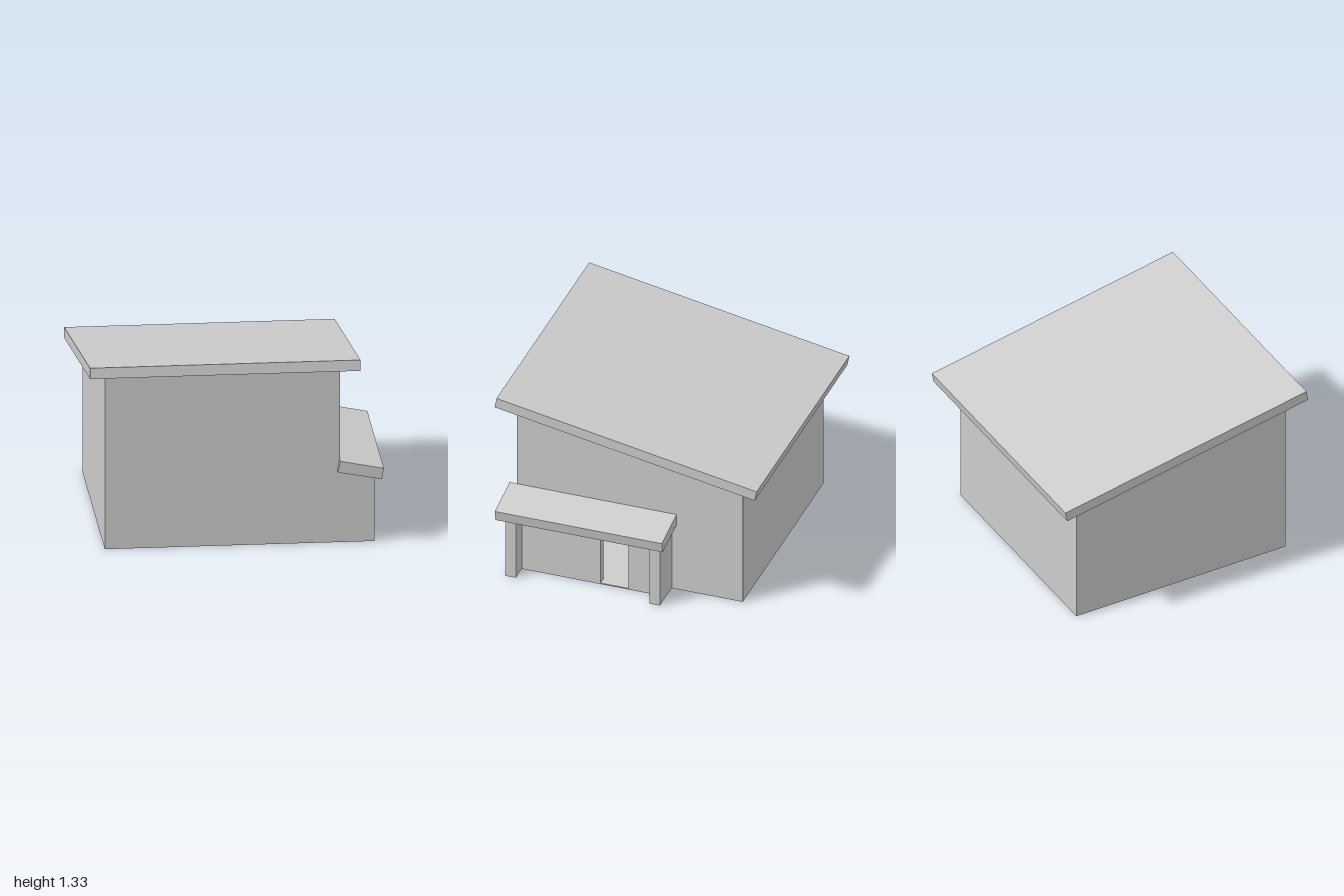
import * as THREE from 'three';

const material = new THREE.MeshStandardMaterial({ color: 0xcccccc, flatShading: true });

export function createModel() {
  const house = new THREE.Group();
  house.name = 'house';

  const add = (name, geometry) => {
    const mesh = new THREE.Mesh(geometry, material);
    mesh.name = name;
    house.add(mesh);
  };
  const extrude = (points, depth) => new THREE.ExtrudeGeometry(
    new THREE.Shape(points.map(([a, b]) => new THREE.Vector2(a, b))),
    { depth, bevelEnabled: false });

  // Outline in x/y, swept from z0 to z1
  const alongZ = (name, points, z0, z1) =>
    add(name, extrude(points, z1 - z0).translate(0, 0, z0));
  // Outline in z/y, swept from x0 to x1
  const alongX = (name, points, x0, x1) =>
    add(name, extrude(points, x1 - x0).rotateY(-Math.PI / 2).translate(x1, 0, 0));
  const box = (name, x0, x1, y0, y1, z0, z1) =>
    add(name, new THREE.BoxGeometry(x1 - x0, y1 - y0, z1 - z0)
      .translate((x0 + x1) / 2, (y0 + y1) / 2, (z0 + z1) / 2));

  const t = 0.075;                         // wall thickness
  const left = -0.89, right = 0.705;       // main room
  const back = -0.79, front = 0.83;
  const porchEnd = 0.94, porchBack = -0.28, porchInner = -0.205;
  const eave = (z) => 1.235 + (z - front) * 0.184;

  // Front wall, carried on to close the end of the porch
  alongZ('frontWall', [[left, 0], [porchEnd, 0], [porchEnd, 0.468], [right, 0.515],
    [right, eave(front)], [left, eave(front)]], front - t, front);
  box('backWall', left, right, 0, eave(back), back, back + t);

  // Side walls under the slope; the right one opens into the porch bay
  const zi = back + t, zo = front - t;
  alongX('sideWall', [[zi, 0], [zo, 0], [zo, eave(zo)], [zi, eave(zi)]], left, left + t);
  alongX('openSideWall', [[zi, 0], [porchInner, 0], [porchInner, 0.5], [zo, 0.5],
    [zo, eave(zo)], [zi, eave(zi)]], right - t, right);

  // Porch: end wall and recessed wall with a doorway
  alongZ('porchEndWall', [[right, 0], [porchEnd, 0], [porchEnd, 0.468], [right, 0.515]],
    porchBack, porchInner);
  alongX('doorWall', [[porchInner, 0], [-0.01, 0], [-0.01, 0.355], [0.19, 0.355],
    [0.19, 0], [zo, 0], [zo, 0.5], [porchInner, 0.5]], 0.762, 0.82);

  // Floors
  box('floor', left + t, right - t, 0, 0.008, zi, zo);
  box('porchFloor', right - t, 0.82, 0, 0.008, porchInner, zo);

  // Sloping roof slabs
  alongX('mainRoof', [[0.945, 1.257], [0.932, 1.33], [-0.937, 0.985], [-0.923, 0.912]],
    -1, 0.835);
  alongZ('porchRoof', [[0.687, 0.515], [0.984, 0.459], [0.998, 0.535], [0.702, 0.595]],
    -0.315, 0.885);

  return house;
}
